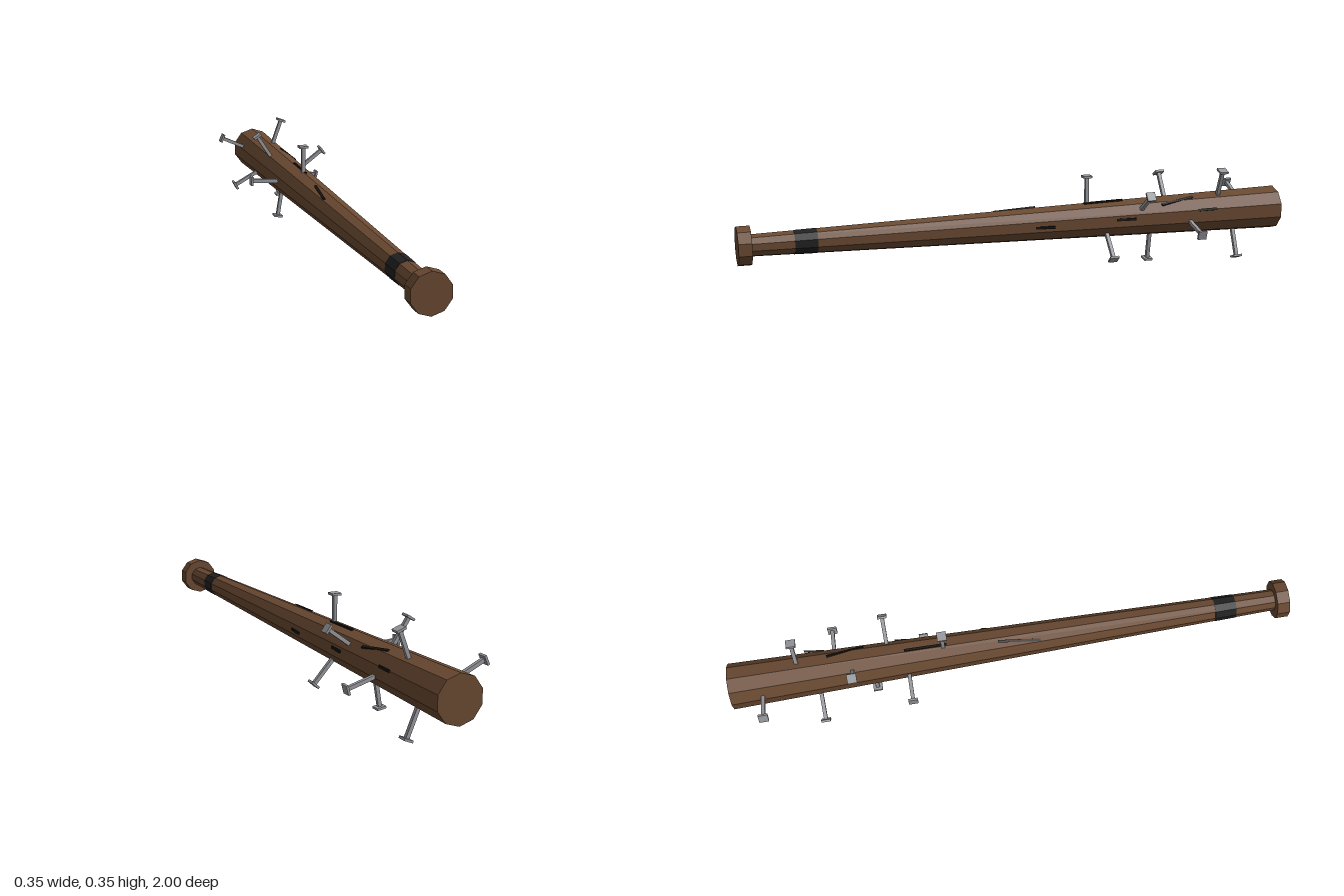
import * as THREE from 'three';

const CX = -0.002, CY = 0.178; // bat axis, running along z
const SIDES = 10;
const material = (name, color) => {
  const m = new THREE.MeshStandardMaterial({ color });
  m.name = name;
  return m;
};

// Bat radius at z, measured to the corners of its ten-sided section
const radiusAt = (z) => 0.038 + 0.043 * (0.955 - z) / 1.955;

// Direction outward from the axis; the angle starts at the top and turns towards +x
const outward = (deg) => {
  const a = THREE.MathUtils.degToRad(deg);
  return new THREE.Vector3(Math.sin(a), Math.cos(a), 0);
};

// Point on the faceted wood, raised by lift
const onWood = (deg, z, lift) => {
  const inFacet = ((deg % 36) + 36) % 36 - 18;
  const r = radiusAt(z) * Math.cos(Math.PI / SIDES) / Math.cos(THREE.MathUtils.degToRad(inFacet));
  return outward(deg).multiplyScalar(r + lift).add(new THREE.Vector3(CX, CY, z));
};

export function createModel() {
  const bat = new THREE.Group();
  bat.name = 'nailedBat';
  const wood = material('wood', 0x6b4a32);
  const steel = material('steel', 0x9a9ba0);
  const tape = material('blackTape', 0x212121);
  const dark = material('darkCrack', 0x17130f);
  wood.flatShading = tape.flatShading = true;

  // Ten-sided section from zBack to zFront with a corner at the top
  const section = (name, mat, zBack, zFront, rBack, rFront, open = false) => {
    const g = new THREE.CylinderGeometry(rFront, rBack, zFront - zBack, SIDES, 1, open);
    g.rotateY(Math.PI).rotateX(Math.PI / 2);
    const m = new THREE.Mesh(g, mat);
    m.name = name;
    m.position.set(CX, CY, (zBack + zFront) / 2);
    bat.add(m);
  };
  section('batBody', wood, -1, 0.96, radiusAt(-1), radiusAt(0.96));
  section('knob', wood, 0.955, 1, 0.068, 0.068);
  section('gripTape', tape, 0.735, 0.812, radiusAt(0.735) + 0.001, radiusAt(0.812) + 0.001);

  // Nails: x and y of the head, z along the bat
  const nails = [
    [-0.002, 0.339, -0.243], [0.058, 0.339, -0.757], [0.131, 0.277, -0.438],
    [0.165, 0.131, -0.628], [0.11, 0.054, -0.307], [0.066, 0.014, -0.822],
    [-0.031, 0.0085, -0.5], [-0.154, 0.096, -0.693], [-0.167, 0.19, -0.375],
    [-0.16, 0.251, -0.888], [-0.093, 0.319, -0.567],
  ];
  const headGeometry = new THREE.BoxGeometry(0.033, 0.008, 0.033);
  for (const [x, y, z] of nails) {
    const nail = new THREE.Group();
    nail.name = 'nail';
    const dir = new THREE.Vector3(x - CX, y - CY, 0);
    const reach = dir.length();
    const start = 0.055;
    const shaft = new THREE.Mesh(new THREE.BoxGeometry(0.013, reach - start, 0.013), steel);
    shaft.name = 'nailShaft';
    shaft.position.y = (reach + start) / 2;
    const head = new THREE.Mesh(headGeometry, steel);
    head.name = 'nailHead';
    head.position.y = reach;
    nail.add(shaft, head);
    nail.position.set(CX, CY, z);
    nail.rotation.z = -Math.atan2(dir.x, dir.y);
    bat.add(nail);
  }

  // Cracks: angle, z and lift at each end
  const cracks = [
    [-30, 0.10, 0.001, -12, -0.05, 0.003],
    [5, -0.23, 0.001, 5, -0.38, 0.002],
    [46, -0.52, 0.002, 26, -0.65, 0.002],
    [92, -0.03, -0.001, 92, -0.10, 0.006],
    [84, -0.34, -0.001, 84, -0.41, 0.006],
    [72, -0.66, -0.001, 72, -0.73, 0.006],
  ];
  for (const [degA, zA, liftA, degB, zB, liftB] of cracks) {
    const a = onWood(degA, zA, liftA), b = onWood(degB, zB, liftB);
    const m = new THREE.Mesh(new THREE.BoxGeometry(0.009, 0.006, a.distanceTo(b)), dark);
    m.name = 'crack';
    m.position.copy(a).add(b).multiplyScalar(0.5);
    m.up.copy(outward((degA + degB) / 2));
    m.lookAt(a);
    bat.add(m);
  }
  return bat;
}
